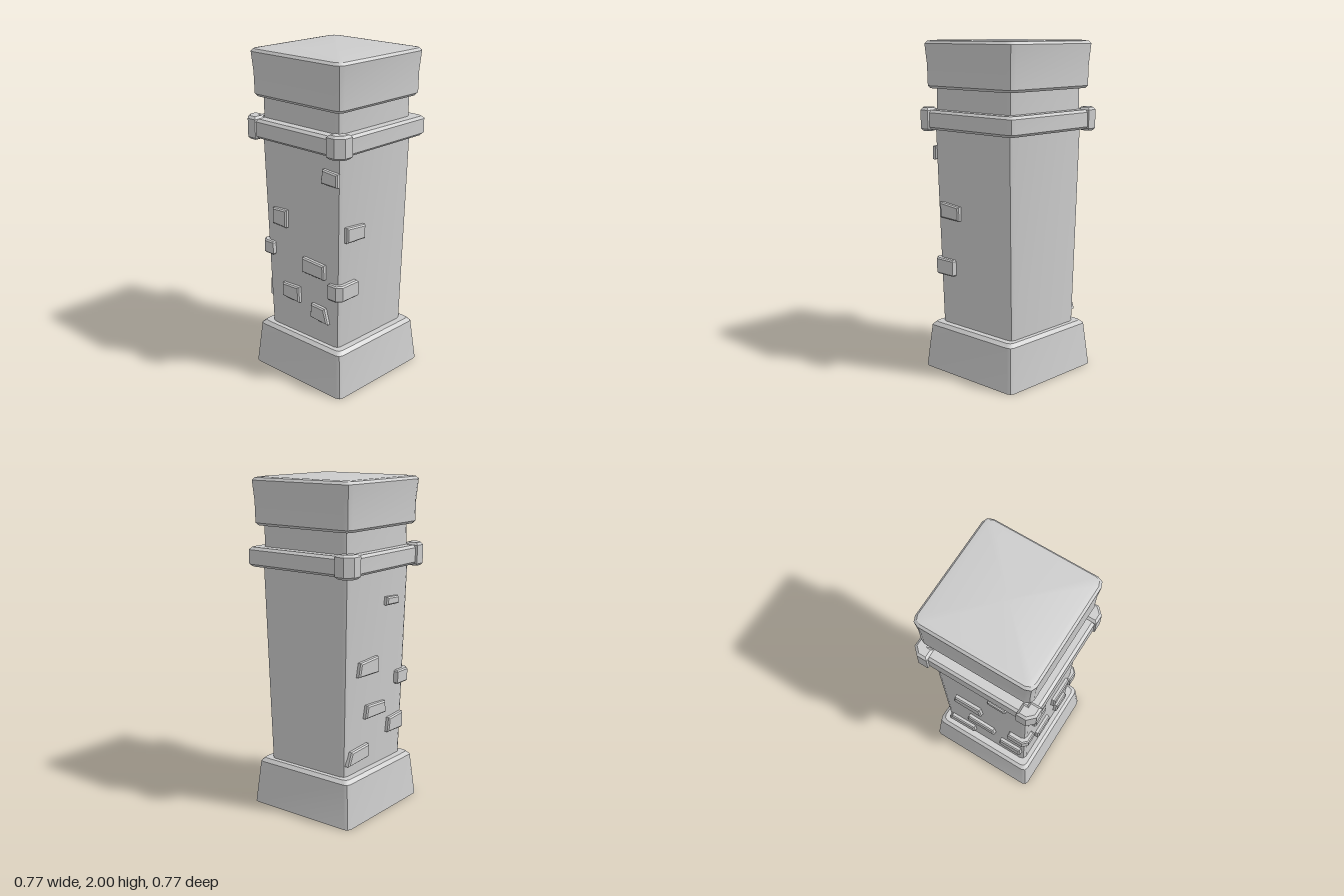
import * as THREE from 'three';
import { toCreasedNormals } from 'three/addons/utils/BufferGeometryUtils.js';

const material = new THREE.MeshStandardMaterial({ color: 0xcccccc, side: THREE.DoubleSide });

function addMesh(parent, name, geometry) {
  const mesh = new THREE.Mesh(geometry, material);
  mesh.name = name;
  parent.add(mesh);
  return mesh;
}

// Square ring with rounded corners (three points per corner)
function squareRing([y, hx, hz, r]) {
  const points = [];
  for (let k = 0; k < 4; k++) {
    const mid = Math.PI / 4 + (k * Math.PI) / 2;
    const sx = Math.sign(Math.cos(mid)), sz = Math.sign(Math.sin(mid));
    for (const step of [-1, 0, 1]) {
      const a = mid + (step * Math.PI) / 4;
      points.push([sx * (hx - r) + r * Math.cos(a), y, sz * (hz - r) + r * Math.sin(a)]);
    }
  }
  return points;
}

// Skin through rings given as [y, half width, half depth, corner radius]
function loft(profile) {
  const rings = profile.map(squareRing), n = rings[0].length, pos = [];
  for (let i = 0; i < rings.length - 1; i++) {
    for (let j = 0; j < n; j++) {
      const a = rings[i][j], b = rings[i][(j + 1) % n];
      const c = rings[i + 1][j], d = rings[i + 1][(j + 1) % n];
      pos.push(...a, ...c, ...b);
      if (profile[i + 1][1] > 0) pos.push(...b, ...c, ...d);
    }
  }
  const geometry = new THREE.BufferGeometry();
  geometry.setAttribute('position', new THREE.Float32BufferAttribute(pos, 3));
  return toCreasedNormals(geometry, 0.6);
}

function bevelled(points, depth, bevel) {
  const shape = new THREE.Shape(points.map(([x, y]) => new THREE.Vector2(x, y)));
  return new THREE.ExtrudeGeometry(shape, {
    depth: depth - 2 * bevel, bevelEnabled: true, bevelSegments: 1,
    bevelSize: bevel, bevelThickness: bevel, bevelOffset: -bevel,
  });
}

// L-shaped block around the +x +z corner; legs end at x = endX and z = endZ
function cornerBlock(inner, outer, endX, endZ, y0, y1, chamfer, bevel) {
  const plan = [
    [endX, inner], [inner, inner], [inner, endZ], [outer, endZ],
    [outer, outer - chamfer], [outer - chamfer, outer], [endX, outer],
  ];
  return bevelled(plan, y1 - y0, bevel).rotateX(Math.PI / 2).translate(0, y1 - bevel, 0);
}

// Shaft half sizes at the bottom and under the collar
const SHAFT = { y0: 0.28, y1: 1.54, x0: 0.28, x1: 0.316, z0: 0.292, z1: 0.311 };

// Raised stone on one face; corners are [across, height], turn picks the face
function addStone(parent, name, corners, turn) {
  const axis = turn === 0 ? 'z' : 'x';
  const low = SHAFT[axis + '0'], high = SHAFT[axis + '1'];
  const slope = (high - low) / (SHAFT.y1 - SHAFT.y0);
  const cx = corners.reduce((s, p) => s + p[0], 0) / 4;
  const cy = corners.reduce((s, p) => s + p[1], 0) / 4;
  const bevel = 0.008, sunk = 0.012, proud = 0.026;
  const geometry = bevelled(corners.map(([x, y]) => [x - cx, y - cy]), sunk + proud, bevel);
  geometry.translate(0, 0, bevel - sunk).rotateX(Math.atan(slope));
  geometry.translate(cx, cy, low + slope * (cy - SHAFT.y0)).rotateY(turn);
  addMesh(parent, name, geometry);
}

export function createModel() {
  const pillar = new THREE.Group();
  pillar.name = 'stonePillar';
  const { y0, y1, x0, x1, z0, z1 } = SHAFT;

  // Hollow flared foot, open underneath
  addMesh(pillar, 'base', loft([
    [0, 0.365, 0.365, 0.03], [0.265, 0.34, 0.34, 0.03],
    [0.285, 0.32, 0.32, 0.03], [0.285, x0, z0, 0.03],
  ]));

  // Shaft widening upward, then the neck above the collar
  addMesh(pillar, 'shaft', loft([[y0, x0, z0, 0.03], [y1, x1, z1, 0.03]]));
  addMesh(pillar, 'neck', loft([
    [y1, x1, z1, 0.03], [y1, 0.307, 0.307, 0.03], [1.73, 0.307, 0.307, 0.03],
  ]));

  // Cap with a slightly flared top and bevelled rims
  addMesh(pillar, 'cap', loft([
    [1.72, 0.3, 0.3, 0.03], [1.72, 0.335, 0.335, 0.035], [1.735, 0.347, 0.347, 0.04],
    [1.86, 0.349, 0.349, 0.04], [1.98, 0.36, 0.36, 0.045],
    [1.995, 0.347, 0.347, 0.04], [2, 0.32, 0.32, 0.03], [2, 0, 0, 0],
  ]));

  // Collar band
  addMesh(pillar, 'collarBand', loft([
    [1.48, 0.3, 0.3, 0.02], [1.48, 0.358, 0.36, 0.03], [1.495, 0.373, 0.377, 0.035],
    [1.58, 0.373, 0.377, 0.035], [1.595, 0.358, 0.36, 0.03], [1.595, 0.3, 0.3, 0.02],
  ]));

  // Collar guards on three corners; the back left one is absent
  ['FrontLeft', 'FrontRight', 'BackRight'].forEach((place, k) => {
    const guard = cornerBlock(0.31, 0.387, 0.283, 0.283, 1.47, 1.608, 0.042, 0.014);
    addMesh(pillar, 'collarGuard' + place, guard.rotateY((-k * Math.PI) / 2));
  });

  const stones = new THREE.Group();
  stones.name = 'stones';
  pillar.add(stones);

  // Front face stones: bottom left, bottom right, top right, top left
  [
    [[-0.225, 0.96], [-0.108, 0.955], [-0.103, 1.066], [-0.22, 1.06]],
    [[0.019, 0.71], [0.195, 0.705], [0.195, 0.796], [0.024, 0.806]],
    [[-0.156, 0.502], [-0.013, 0.495], [-0.016, 0.596], [-0.154, 0.59]],
    [[0.077, 0.434], [0.22, 0.424], [0.194, 0.52], [0.088, 0.525]],
    [[0.183, 1.3], [0.311, 1.295], [0.311, 1.375], [0.199, 1.385]],
  ].forEach((corners, i) => addStone(stones, 'frontStone' + (i + 1), corners, 0));

  // Left face stone
  addStone(stones, 'leftStone',
    [[-0.255, 0.95], [-0.1, 0.944], [-0.1, 1.03], [-0.255, 1.045]], Math.PI / 2);

  // Right face stones
  [
    [[0.055, 1.262], [0.18, 1.258], [0.175, 1.305], [0.06, 1.312]],
    [[-0.2, 0.876], [0, 0.87], [-0.01, 0.97], [-0.185, 0.96]],
    [[-0.12, 0.605], [0.085, 0.6], [0.075, 0.675], [-0.105, 0.685]],
    [[0.115, 0.46], [0.275, 0.455], [0.27, 0.56], [0.125, 0.55]],
    [[-0.28, 0.352], [-0.075, 0.362], [-0.08, 0.445], [-0.25, 0.435]],
  ].forEach((corners, i) => addStone(stones, 'rightStone' + (i + 1), corners, -Math.PI / 2));

  // Stones wrapping the two front corners
  addMesh(stones, 'cornerStoneLeft',
    cornerBlock(0.275, 0.322, 0.225, 0.155, 0.595, 0.695, 0.03, 0.008));
  addMesh(stones, 'cornerStoneRight',
    cornerBlock(0.275, 0.325, 0.19, 0.222, 0.75, 0.835, 0.03, 0.008).rotateY(-Math.PI / 2));

  return pillar;
}
